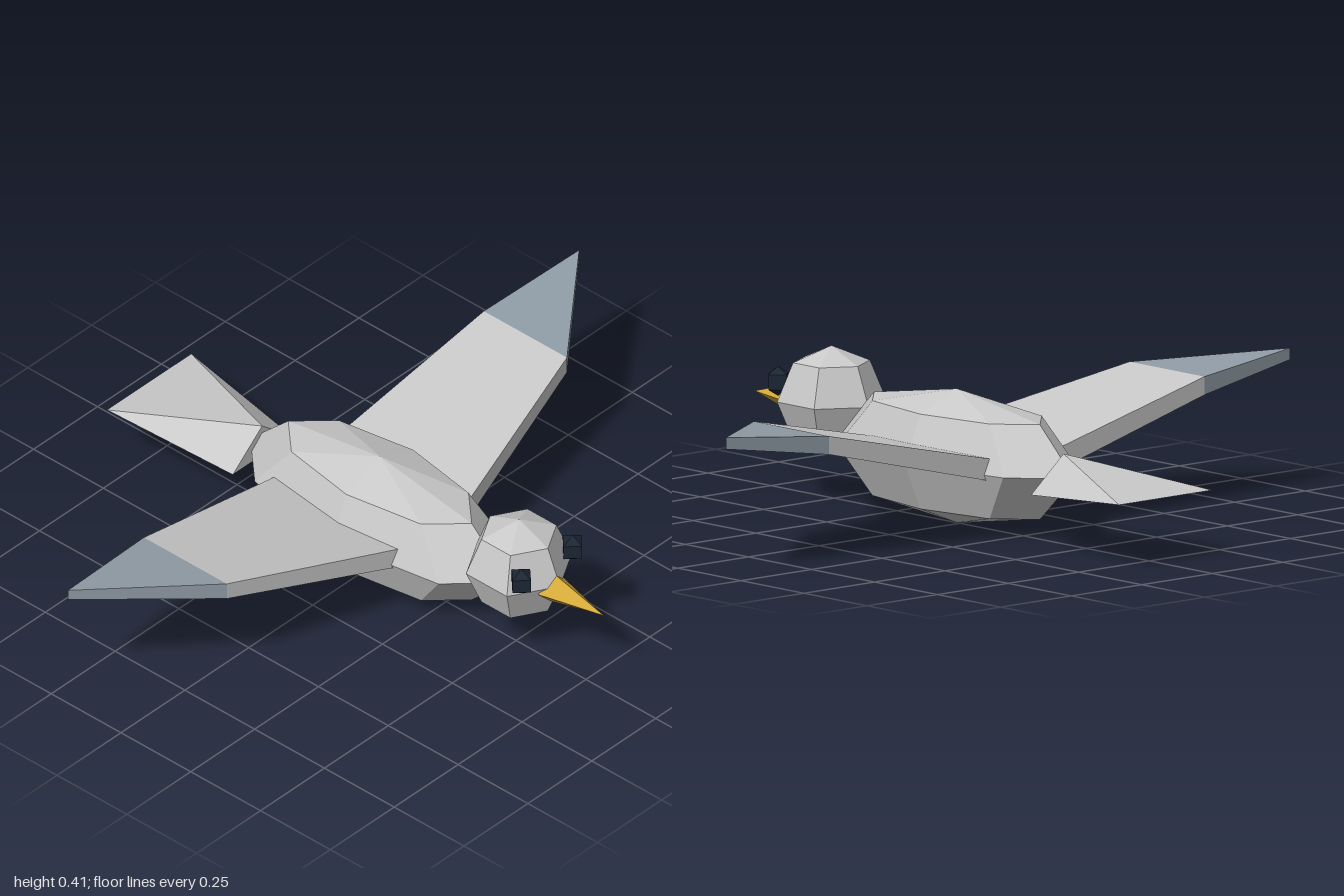
import * as THREE from 'three';
import { ConvexGeometry } from 'three/addons/geometries/ConvexGeometry.js';

export function createModel() {
  const model = new THREE.Group();
  model.name = 'bird';

  const material = (name, color) => {
    const m = new THREE.MeshStandardMaterial({ color, flatShading: true });
    m.name = name;
    return m;
  };
  const feather = material('pale grey feathers', 0xc8c8c8);
  const slate = material('slate wing tips', 0x909ca6);
  const gold = material('gold beak', 0xd2a938);
  const navy = material('dark navy eyes', 0x1b2633);

  const add = (name, geometry, mat, x = 0, y = 0, z = 0) => {
    const mesh = new THREE.Mesh(geometry, mat);
    mesh.name = name;
    mesh.position.set(x, y, z);
    model.add(mesh);
    return mesh;
  };
  const hull = (points) => new ConvexGeometry(points.map((p) => new THREE.Vector3(...p)));

  // Body: stretched eight-sided ball
  add('body', new THREE.SphereGeometry(1, 8, 4).scale(0.185, 0.18, 0.465), feather, 0, 0.18, 0.012);

  // Head: six-sided ball with a corner facing forward
  add('head', new THREE.SphereGeometry(0.147, 6, 4).rotateY(Math.PI / 2), feather, 0, 0.262, 0.51);

  // Beak: four-sided spike
  add('beak', new THREE.ConeGeometry(0.05, 0.19, 4).rotateX(Math.PI / 2), gold, 0, 0.246, 0.72);

  // Tail: three-sided wedge flattening into a wide straight edge
  add('tail', hull([
    [0, 0.242, -0.41], [0.115, 0.145, -0.41], [-0.115, 0.145, -0.41],
    [0.165, 0.179, -0.815], [-0.165, 0.179, -0.815],
  ]), feather);

  // Wing sections: distance out, underside, top, front edge, back edge
  const root = [0.1, 0.157, 0.217, 0.208, -0.256];
  const bend = [0.665, 0.295, 0.344, 0.073, -0.225];
  const tip = [1, 0.345, 0.376, -0.19, -0.19];
  const corners = ([x, low, high, front, back], side) =>
    (front === back ? [front] : [front, back])
      .flatMap((z) => [[side * x, low, z], [side * x, high, z]]);
  const panel = (a, b, side) => hull([...corners(a, side), ...corners(b, side)]);

  // Wings and eyes on both sides
  for (const [label, side] of [['left', 1], ['right', -1]]) {
    add(label + 'Wing', panel(root, bend, side), feather);
    add(label + 'WingTip', panel(bend, tip, side), slate);
    add(label + 'Eye', new THREE.SphereGeometry(0.04, 4, 3), navy, side * 0.1, 0.312, 0.61);
  }

  return model;
}
